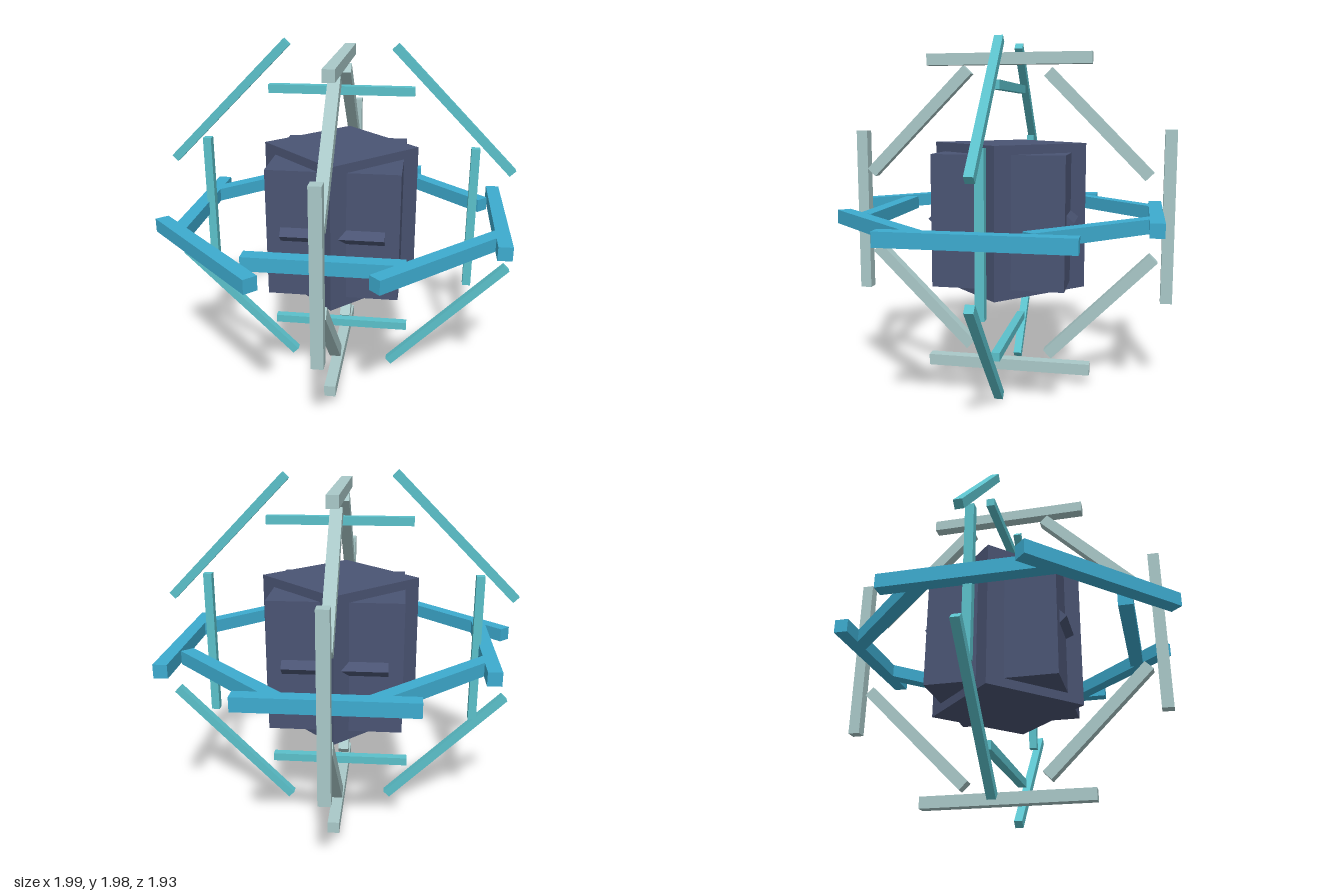
import * as THREE from 'three';

const CZ = -0.037; // depth of the shared centre

const mat = (name, color) => {
  const m = new THREE.MeshStandardMaterial({ color });
  m.name = name;
  return m;
};

// Straight bars lying in one plane, each given as [u1, v1, u2, v2]
function makeRing(name, bars, width, depth, material) {
  const ring = new THREE.Group();
  ring.name = name;
  bars.forEach(([u1, v1, u2, v2], i) => {
    const length = Math.hypot(u2 - u1, v2 - v1);
    const bar = new THREE.Mesh(new THREE.BoxGeometry(length, width, depth), material);
    bar.position.set((u1 + u2) / 2, (v1 + v2) / 2, 0);
    bar.rotation.z = Math.atan2(v2 - v1, u2 - u1);
    bar.name = name + 'Bar' + (i + 1);
    ring.add(bar);
  });
  return ring;
}

export function createModel() {
  const model = new THREE.Group();
  model.name = 'ringedCore';

  const slate = mat('slateBlue', 0x4a5473);
  const blue = mat('brightBlue', 0x3dabcf);
  const teal = mat('teal', 0x5bc0ca);
  const grey = mat('paleGrey', 0xa9c8c8);

  // Core: three interlocking blocks, two of them turned by 45 degrees
  const core = new THREE.Group();
  core.name = 'core';
  core.position.set(0, 1, CZ);
  const addBlock = (name, w, h, d, rx, ry) => {
    const block = new THREE.Mesh(new THREE.BoxGeometry(w, h, d), slate);
    block.rotation.set(rx, ry, 0);
    block.name = name;
    core.add(block);
  };
  addBlock('squareBlock', 0.72, 0.72, 0.72, 0, 0);
  addBlock('turnedBlock', 0.615, 0.82, 0.615, 0, Math.PI / 4);
  addBlock('tiltedBlock', 0.565, 0.565, 0.565, Math.PI / 4, 0);
  model.add(core);

  // Ring facing the front: u = x, v = y
  const frontRing = makeRing('frontRing', [
    [-0.4, 1.72, 0.405, 1.72],
    [-0.4, 0.28, 0.405, 0.28],
    [-0.77, 0.575, -0.77, 1.427],
    [0.748, 0.587, 0.748, 1.415],
    [-0.968, 1.3, -0.294, 1.973],
    [0.294, 1.957, 0.957, 1.283],
    [-0.949, 0.714, -0.283, 0.053],
    [0.302, 0.024, 0.973, 0.706],
  ], 0.047, 0.047, teal);
  frontRing.position.z = CZ;
  model.add(frontRing);

  // Ring facing the sides: u = z, v = y
  const sideRing = makeRing('sideRing', [
    [-0.5, 1.877, 0.44, 1.877],
    [-0.511, 0.1, 0.448, 0.1],
    [0.842, 0.53, 0.842, 1.473],
    [-0.933, 0.519, -0.933, 1.486],
    [0.788, 1.228, 0.203, 1.818],
    [-0.258, 1.802, -0.825, 1.228],
    [0.764, 0.78, 0.192, 0.208],
    [-0.266, 0.179, -0.857, 0.77],
  ], 0.065, 0.064, grey);
  sideRing.rotation.y = -Math.PI / 2;
  model.add(sideRing);

  // Level ring: u = x, v = z
  const levelRing = makeRing('levelRing', [
    [-0.447, -0.864, 0.449, -0.864],
    [-0.404, 0.682, 0.409, 0.682],
    [-0.821, -0.487, -0.821, 0.41],
    [0.9, -0.519, 0.9, 0.436],
    [-0.83, -0.25, -0.23, -0.85],
    [0.24, -0.855, 0.826, -0.275],
    [-0.97, 0.26, -0.297, 0.933],
    [0.27, 0.861, 0.89, 0.24],
  ], 0.077, 0.076, blue);
  levelRing.rotation.x = Math.PI / 2;
  levelRing.position.y = 1;
  model.add(levelRing);

  return model;
}
